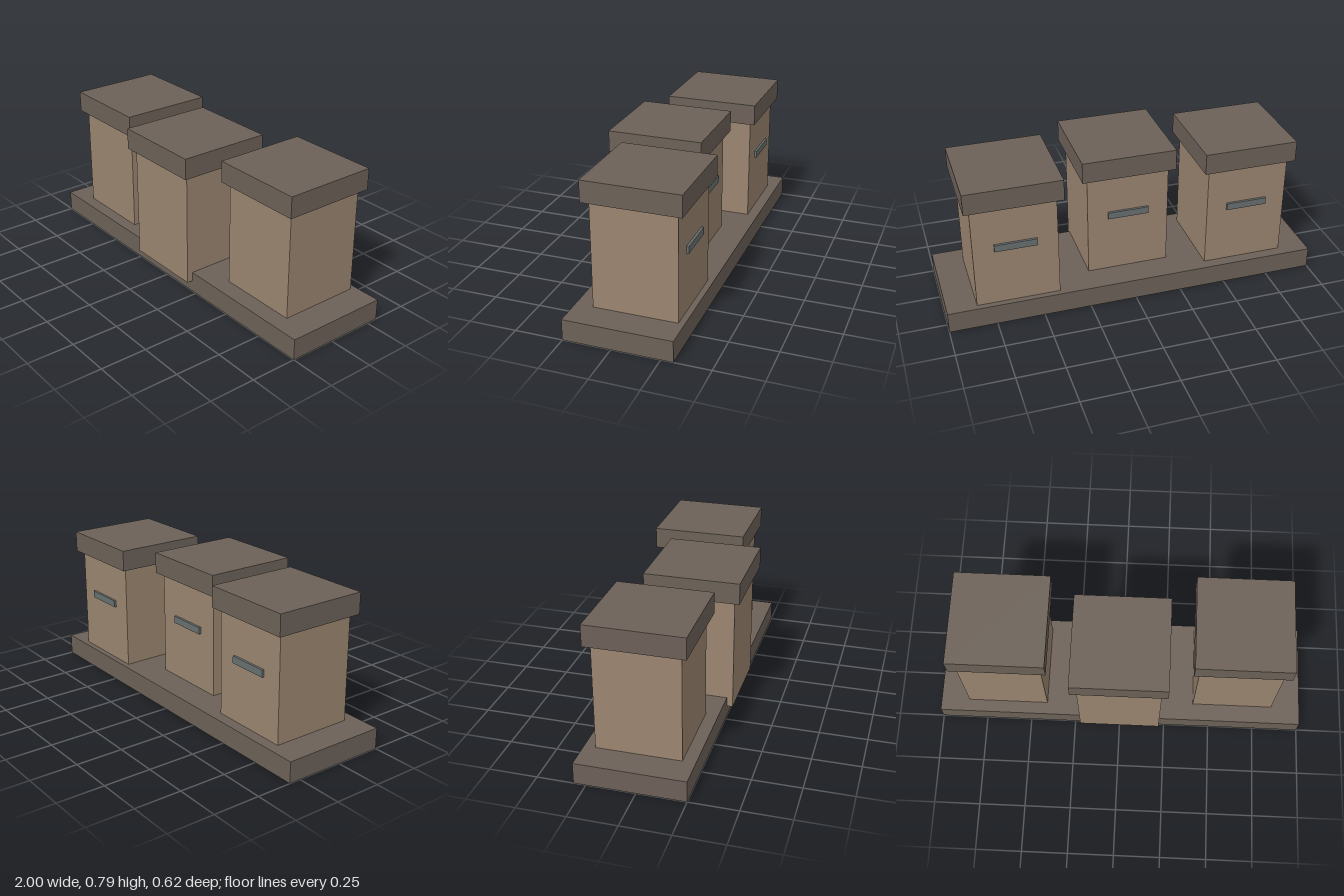
import * as THREE from 'three';

const wood = new THREE.MeshStandardMaterial({ name: 'tan wood', color: 0x9b8570 });
const dark = new THREE.MeshStandardMaterial({ name: 'dark brown wood', color: 0x6c6158 });
const slate = new THREE.MeshStandardMaterial({ name: 'slate grey', color: 0x687070 });

// Box standing on height y, centred on x and z
function box(name, w, h, d, x, y, z, material) {
  const mesh = new THREE.Mesh(new THREE.BoxGeometry(w, h, d), material);
  mesh.name = name;
  mesh.position.set(x, y + h / 2, z);
  return mesh;
}

// One hive: body, overhanging lid and entrance slot at the back
function createHive(name, x, z) {
  const hive = new THREE.Group();
  hive.name = name;
  hive.position.set(x, 0, z);
  hive.add(
    box('body', 0.4375, 0.6125, 0.4375, 0, 0.0625, 0, wood),
    box('lid', 0.5, 0.1125, 0.5, 0, 0.675, 0, dark),
    box('entranceSlot', 0.22, 0.0375, 0.025, 0, 0.426, -0.21875, slate)
  );
  return hive;
}

export function createModel() {
  const model = new THREE.Group();
  model.name = 'hiveRow';

  // Shared plank under the hives
  model.add(box('basePlank', 2, 0.1125, 0.5625, 0, 0, -0.03125, dark));

  // Three hives, unevenly placed front to back
  model.add(
    createHive('rightHive', -0.625, -0.035),
    createHive('middleHive', 0, 0.0625),
    createHive('leftHive', 0.625, -0.0625)
  );
  return model;
}
